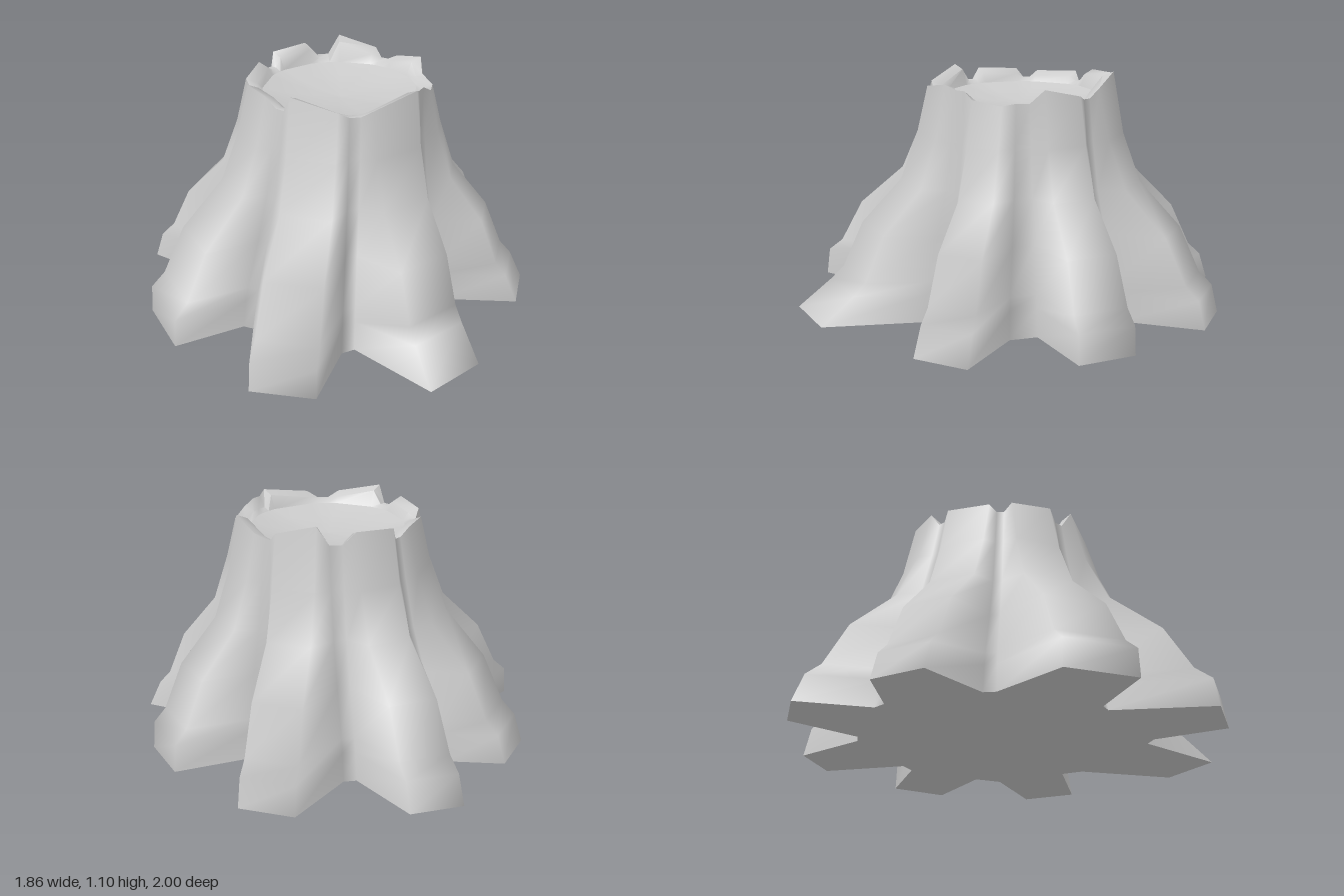
import * as THREE from 'three';
import { toCreasedNormals } from 'three/addons/utils/BufferGeometryUtils.js';

// Each ridge: foot corners a and b, rim angles in degrees, rim heights, foot spread;
// then the valley after it: two base points and its rim height
const RIDGES = [
  { a: [-0.39, 0.98], b: [-0.09, 1.0], rim: [-26, 6], top: [1.03, 1.07], foot: 0.8, v: [[0.11, 0.59], [0.2, 0.54]], gap: 1.05 },
  { a: [0.44, 0.82], b: [0.66, 0.69], rim: [27, 45], top: [1.02, 1.0], foot: 0.93, v: [[0.5, 0.38], [0.54, 0.26]], gap: 1.01 },
  { a: [0.88, 0.29], b: [0.93, 0.03], rim: [70, 93], top: [1.07, 1.03], foot: 1.04, v: [[0.62, -0.08], [0.59, -0.15]], gap: 1.01 },
  { a: [0.89, -0.4], b: [0.75, -0.61], rim: [109, 134], top: [1.05, 1.1], foot: 1.0, v: [[0.41, -0.52], [0.36, -0.55]], gap: 1.01 },
  { a: [0.37, -0.9], b: [0.15, -1.0], rim: [157, 182], top: [1.07, 1.06], foot: 0.98, v: [[0.0, -0.69], [-0.06, -0.68]], gap: 1.0 },
  { a: [-0.25, -0.87], b: [-0.48, -0.77], rim: [197, 225], top: [1.04, 1.03], foot: 0.98, v: [[-0.42, -0.44], [-0.46, -0.4]], gap: 1.0 },
  { a: [-0.82, -0.36], b: [-0.93, -0.05], rim: [239, 265], top: [1.04, 1.05], foot: 1.05, v: [[-0.61, 0.05], [-0.59, 0.1]], gap: 1.0 },
  { a: [-0.92, 0.43], b: [-0.76, 0.67], rim: [284, 313], top: [1.08, 1.03], foot: 1.03, v: [[-0.45, 0.52], [-0.39, 0.54]], gap: 1.0 },
];
const CENTRE = new THREE.Vector2(0.05, 0.02);
// Height, ridge spread, valley spread (1 = base outline, 0 = rim outline)
const LEVELS = [
  [0, 1, 1], [0.13, 0.94, 0.92], [0.19, 0.82, 0.85], [0.4, 0.63, 0.55],
  [0.6, 0.26, 0.3], [0.82, 0.1, 0.12], [1.0, 0, 0],
];

const polar = (degrees, radius) => {
  const a = THREE.MathUtils.degToRad(degrees);
  return new THREE.Vector2(Math.sin(a), Math.cos(a)).multiplyScalar(radius).add(CENTRE);
};

// Base and rim position of every point of the outline
function makeOutline() {
  return RIDGES.flatMap((r, i) => {
    const nextAngle = i + 1 < RIDGES.length ? RIDGES[i + 1].rim[0] : RIDGES[0].rim[0] + 360;
    const ridge = [r.a, r.b].map((p, k) => ({
      base: new THREE.Vector2(...p), angle: r.rim[k], rim: polar(r.rim[k], 0.43),
      top: r.top[k], foot: r.foot, ridge: true,
    }));
    const valley = r.v.map((p, k) => {
      const angle = THREE.MathUtils.lerp(r.rim[1], nextAngle, (k + 1) / 3);
      return { base: new THREE.Vector2(...p), angle, rim: polar(angle, 0.41), top: r.gap, foot: 1, ridge: false };
    });
    return [...ridge, ...valley];
  });
}

// Joins rings of equal length into one smooth skin
function skin(rings) {
  const n = rings[0].length;
  const index = [];
  for (let j = 0; j < rings.length - 1; j++) {
    for (let i = 0; i < n; i++) {
      const k = (i + 1) % n;
      const [p, q, s, t] = [j * n + i, j * n + k, (j + 1) * n + k, (j + 1) * n + i];
      index.push(p, q, s, p, s, t);
    }
  }
  const geometry = new THREE.BufferGeometry();
  geometry.setAttribute('position', new THREE.Float32BufferAttribute(rings.flat(2), 3));
  geometry.setIndex(index);
  geometry.computeVertexNormals();
  return geometry;
}

export function createModel() {
  const group = new THREE.Group();
  group.name = 'ridgedMound';
  const material = new THREE.MeshStandardMaterial({ color: 0xcccccc, side: THREE.DoubleSide });
  const add = (name, geometry) => {
    const mesh = new THREE.Mesh(geometry, material);
    mesh.name = name;
    group.add(mesh);
  };
  const outline = makeOutline();
  const ring = (radius, height) => outline.map((p) => {
    const q = polar(p.angle, radius);
    return [q.x, height(p), q.y];
  });

  // Flared slopes with ridges and valleys
  const slopes = LEVELS.map(([y, ridgeT, valleyT], j) => outline.map((p) => {
    const t = p.ridge ? ridgeT * (j > 0 ? p.foot : 1) : valleyT;
    const q = p.rim.clone().lerp(p.base, t);
    return [q.x, j === LEVELS.length - 1 ? p.top : y, q.y];
  }));
  add('slopes', skin(slopes));

  // Flat underside
  add('underside', skin([ring(0.001, () => 0), slopes[0]]));

  // Jagged rim
  add('rim', toCreasedNormals(skin([
    slopes[slopes.length - 1],
    ring(0.38, (p) => (p.ridge ? p.top - 0.02 : 1.0)),
    ring(0.355, () => 0.985),
  ]), 0.9));

  // Shallow crater floor
  add('crater', skin([
    ring(0.355, () => 0.985), ring(0.25, () => 0.96),
    ring(0.12, () => 0.945), ring(0.001, () => 0.94),
  ]));
  return group;
}
